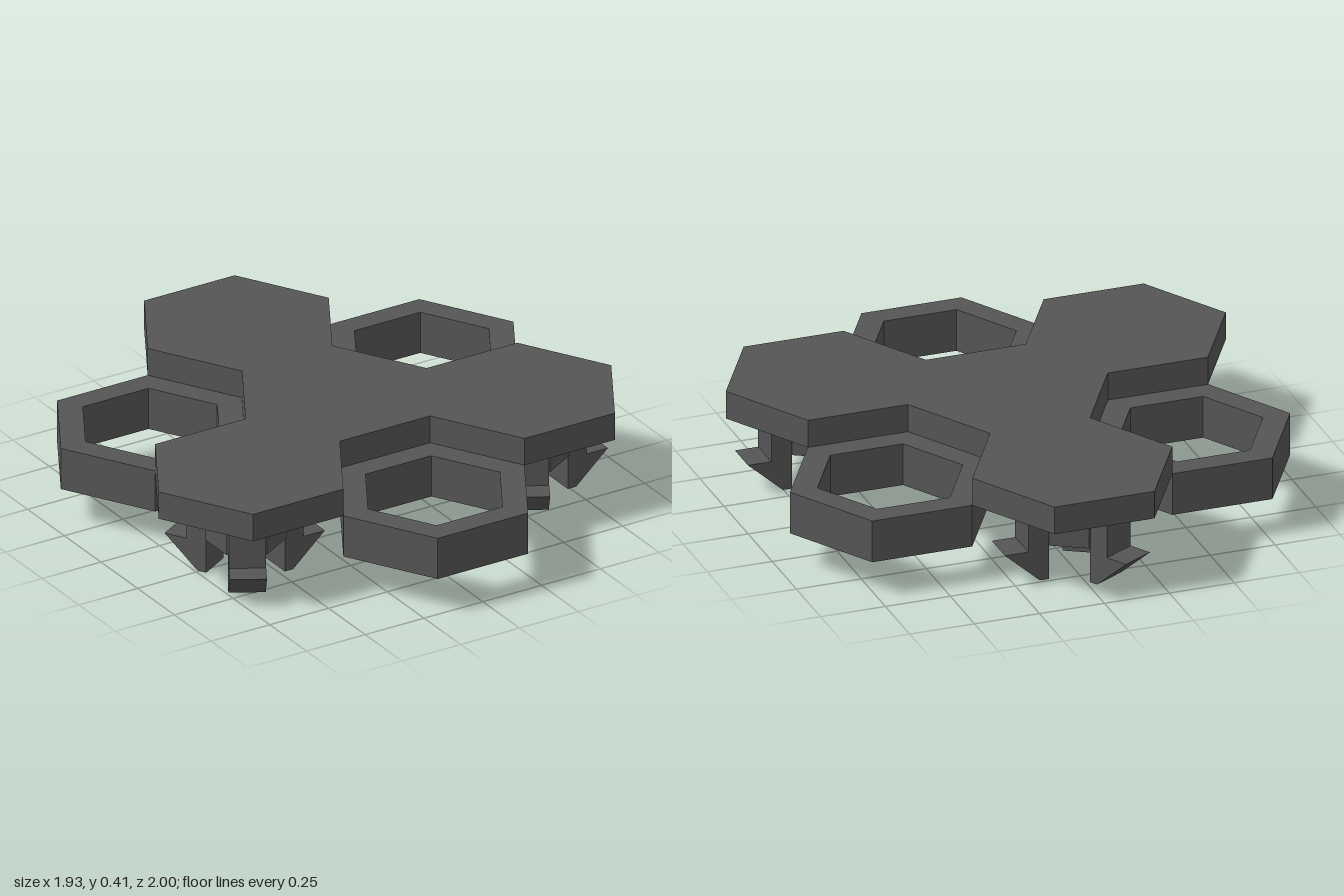
import * as THREE from 'three';

const RAD = Math.PI / 180;
const R = 0.385;          // hexagon corner radius
const PITCH = 0.667;      // distance from the middle to each outer hexagon

const hexPoints = (r, turn = 0, cx = 0, cy = 0) =>
  Array.from({ length: 6 }, (_, i) => {
    const a = (i * 60 + turn) * RAD;
    return new THREE.Vector2(cx + r * Math.cos(a), cy + r * Math.sin(a));
  });

// Extrude a plan outline (shape y = -z) upward between two heights
function slab(shape, y0, y1) {
  const g = new THREE.ExtrudeGeometry(shape, { depth: y1 - y0, bevelEnabled: false });
  g.rotateX(-Math.PI / 2);
  g.translate(0, y0, 0);
  return g;
}

export function createModel() {
  const model = new THREE.Group();
  const grey = new THREE.MeshStandardMaterial({ color: 0x555555 });
  grey.name = 'dark grey';

  const add = (parent, geometry, name) => {
    const mesh = new THREE.Mesh(geometry, grey);
    mesh.name = name;
    parent.add(mesh);
    return mesh;
  };

  // Upper plate: three hexagonal lobes around a hexagonal middle
  const outline = [];
  for (const deg of [90, 210, 330]) {
    const lobe = [[0.333, -0.1925], [PITCH, -R], [1, -0.1925], [1, 0.1925], [PITCH, R], [0.333, 0.1925]];
    for (const [f, s] of lobe) {
      outline.push(new THREE.Vector2(f, s).rotateAround(new THREE.Vector2(), deg * RAD));
    }
  }
  add(model, slab(new THREE.Shape(outline), 0.307, 0.415), 'upperPlate');

  // Lower layer: solid core and three open hexagonal rings
  add(model, slab(new THREE.Shape(hexPoints(R)), 0.143, 0.307), 'lowerCore');
  for (const deg of [30, 150, 270]) {
    const cx = PITCH * Math.cos(deg * RAD), cy = PITCH * Math.sin(deg * RAD);
    const ring = new THREE.Shape(hexPoints(R, 0, cx, cy));
    ring.holes.push(new THREE.Path(hexPoints(0.28, 0, cx, cy).reverse()));
    add(model, slab(ring, 0.143, 0.307), 'hexRing');
  }

  // Snap clip profile: radius outward, height up
  const clipShape = new THREE.Shape([
    [0.125, 0], [0.16, 0], [0.295, 0.12], [0.205, 0.12], [0.205, 0.262], [0.125, 0.277],
  ].map(([x, y]) => new THREE.Vector2(x, y)));
  const clipWidth = 0.135;
  const clipGeometry = new THREE.ExtrudeGeometry(clipShape, { depth: clipWidth, bevelEnabled: false });
  clipGeometry.translate(0, 0, -clipWidth / 2);

  // A connector under each lobe: hexagonal hub with three hooked clips
  for (const [deg, lift] of [[90, 0.013], [210, 0], [330, 0.013]]) {
    const connector = new THREE.Group();
    connector.name = 'connector';
    connector.position.set(0.695 * Math.cos(deg * RAD), 0, -0.695 * Math.sin(deg * RAD));
    add(connector, slab(new THREE.Shape(hexPoints(0.147, 30)), 0.136 + lift, 0.31), 'hub');
    for (let i = 0; i < 3; i++) {
      const clip = add(connector, clipGeometry, 'snapClip');
      clip.position.y = lift;
      clip.rotation.y = i * 120 * RAD;
    }
    model.add(connector);
  }

  return model;
}
